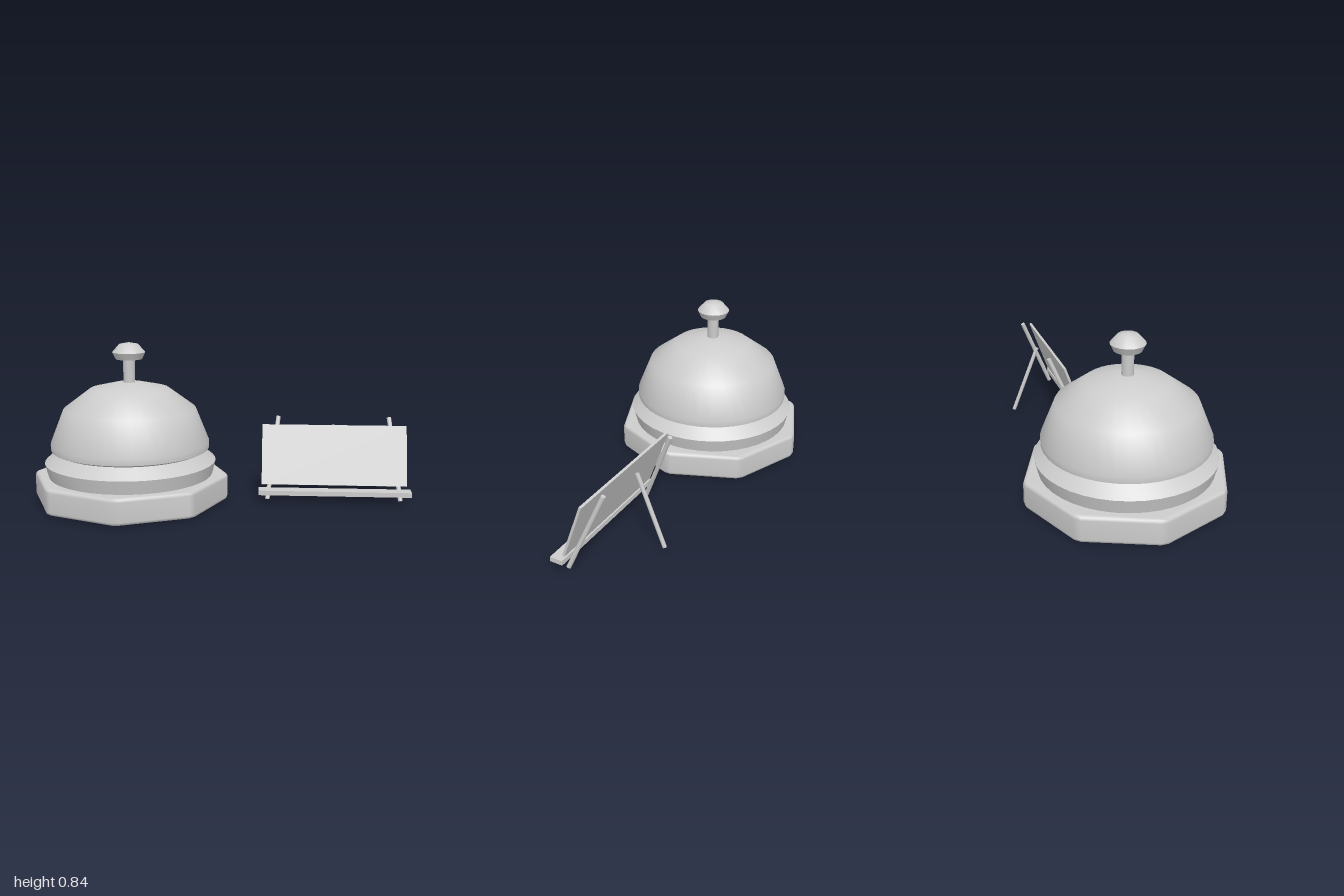
import * as THREE from 'three';
import { mergeVertices, toCreasedNormals } from 'three/addons/utils/BufferGeometryUtils.js';

const grey = new THREE.MeshStandardMaterial({ color: 0xcccccc });
grey.name = 'grey';

function add(parent, name, geometry) {
  const mesh = new THREE.Mesh(geometry, grey);
  mesh.name = name;
  parent.add(mesh);
  return mesh;
}

// Revolved profile, listed from bottom to top
function turned(profile, sides, crease) {
  const g = new THREE.LatheGeometry(profile.map(([r, y]) => new THREE.Vector2(r, y)), sides);
  return toCreasedNormals(g, crease);
}

// Octagonal slab with softened corners and edges
function octagonSlab(radius, bottom, top, bevel) {
  const shape = new THREE.Shape();
  const r = radius - bevel;
  for (let i = 0; i < 8; i++) {
    for (const side of [-1, 1]) {
      const a = (i * Math.PI) / 4 + side * 0.03;
      const x = r * Math.cos(a), y = r * Math.sin(a);
      if (i === 0 && side < 0) shape.moveTo(x, y);
      else shape.lineTo(x, y);
    }
  }
  shape.closePath();
  let g = new THREE.ExtrudeGeometry(shape, {
    depth: top - bottom - 2 * bevel, bevelSize: bevel, bevelThickness: bevel, bevelSegments: 2,
  });
  g.rotateX(-Math.PI / 2);
  g.translate(0, bottom + bevel, 0);
  g.deleteAttribute('normal');
  g.deleteAttribute('uv');
  g = mergeVertices(g, 1e-4);
  g.computeVertexNormals();
  return g;
}

// Round stick between two points
function stick(parent, name, from, to, radius) {
  const a = new THREE.Vector3(...from), b = new THREE.Vector3(...to);
  const dir = b.clone().sub(a);
  const g = new THREE.CylinderGeometry(radius, radius, dir.length(), 8);
  const mesh = add(parent, name, g);
  mesh.position.copy(a).add(b).multiplyScalar(0.5);
  mesh.quaternion.setFromUnitVectors(new THREE.Vector3(0, 1, 0), dir.normalize());
}

export function createModel() {
  const model = new THREE.Group();
  model.name = 'deskBellAndSign';

  // Desk bell
  const bell = new THREE.Group();
  bell.name = 'bell';
  bell.position.x = -0.485;
  model.add(bell);

  add(bell, 'base', octagonSlab(0.516, 0.008, 0.145, 0.018));
  add(bell, 'lowerRim', turned([[0, 0.14], [0.433, 0.14], [0.452, 0.217], [0.385, 0.275], [0, 0.275]], 40, 0.5));
  add(bell, 'dome', turned([
    [0, 0.27], [0.385, 0.27], [0.417, 0.284], [0.419, 0.317], [0.348, 0.495],
    [0.207, 0.6], [0.07, 0.632], [0, 0.634],
  ], 40, 0.8));
  add(bell, 'stem', new THREE.CylinderGeometry(0.031, 0.031, 0.15, 10)).position.y = 0.695;
  add(bell, 'button', turned([
    [0, 0.755], [0.069, 0.755], [0.087, 0.791], [0.05, 0.833], [0, 0.843],
  ], 16, 0.85));

  // Small easel with a blank sign
  const easel = new THREE.Group();
  easel.name = 'easel';
  easel.position.x = 0.597;
  model.add(easel);

  for (const s of [-1, 1]) {
    stick(easel, s > 0 ? 'leftLeg' : 'rightLeg', [s * 0.352, 0.008, 0], [s * 0.297, 0.425, -0.173], 0.012);
  }
  stick(easel, 'backLeg', [0, 0.006, -0.312], [0, 0.378, -0.164], 0.011);
  add(easel, 'shelf', new THREE.BoxGeometry(0.8, 0.025, 0.068)).position.set(0.001, 0.06, 0.034);

  const sign = add(easel, 'signBoard', new THREE.BoxGeometry(0.766, 0.322, 0.013));
  sign.position.set(0, 0.241, -0.051);
  sign.rotation.x = -0.345;

  return model;
}
